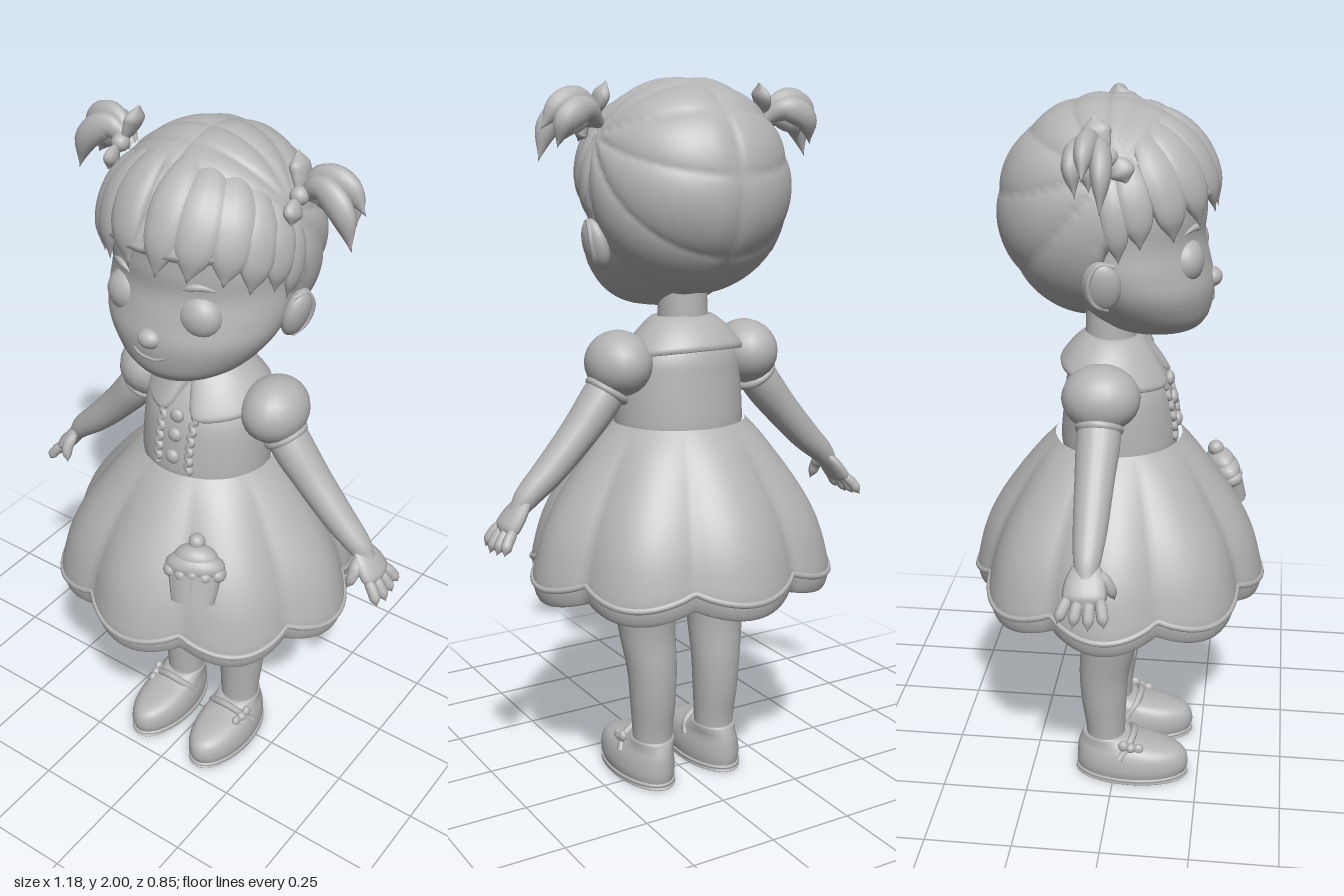
import * as THREE from 'three';
import { ParametricGeometry } from 'three/addons/geometries/ParametricGeometry.js';
import { mergeVertices } from 'three/addons/utils/BufferGeometryUtils.js';

const V = (x, y, z) => new THREE.Vector3(x, y, z);
const { sin, cos, abs, PI, min, max, floor } = Math;

// Smooth interpolation through a list of number rows
function at(rows, t) {
  const n = rows.length, f = t * (n - 1), i = min(floor(f), n - 2), k = f - i;
  const row = (j) => rows[max(0, min(n - 1, j))];
  return rows[i].map((p1, c) => {
    const p2 = row(i + 1)[c], m1 = (p2 - row(i - 1)[c]) / 2, m2 = (row(i + 2)[c] - p1) / 2;
    const k2 = k * k, k3 = k2 * k;
    return (2 * k3 - 3 * k2 + 1) * p1 + (k3 - 2 * k2 + k) * m1 + (3 * k2 - 2 * k3) * p2 + (k3 - k2) * m2;
  });
}

// Welded, smooth-shaded geometry
function weld(geo) {
  geo.deleteAttribute('uv');
  geo.deleteAttribute('normal');
  const out = mergeVertices(geo, 1e-5);
  out.computeVertexNormals();
  return out;
}
const surface = (fn, nu, nv) => weld(new ParametricGeometry(fn, nu, nv));

// Upright body from rows of [y, halfWidth, frontZ, backZ, centreX]
const loft = (rows, nu = 28, nv = 28) => surface((u, v, p) => {
  const [y, rx, zf, zb, cx] = at(rows, v), a = u * 2 * PI;
  p.set(cx + rx * sin(a), y, (zf + zb) / 2 + (zf - zb) / 2 * cos(a));
}, nu, nv);

// Tapered, optionally flattened sweep; normalOf gives the thin direction
function sweep(points, widths, flat = 1, normalOf = () => V(0, 0, 1), nu = 12, nv = 20) {
  const curve = new THREE.CatmullRomCurve3(points), rows = widths.map((w) => [w]);
  return surface((u, v, p) => {
    const c = curve.getPoint(v), T = curve.getTangent(v), N = normalOf(c);
    N.addScaledVector(T, -N.dot(T)).normalize();
    const B = N.clone().cross(T), w = max(0, at(rows, v)[0]), a = u * 2 * PI;
    p.copy(c).addScaledVector(B, w * cos(a)).addScaledVector(N, w * flat * sin(a));
  }, nu, nv);
}

const ball = (x, y, z, rx, ry = rx, rz = rx) =>
  new THREE.SphereGeometry(1, 22, 14).scale(rx, ry, rz).translate(x, y, z);
const tube = (pts, r, n = 20, closed = false) =>
  new THREE.TubeGeometry(new THREE.CatmullRomCurve3(pts, closed), n, r, 7, closed);

function mirrored(geo) {
  const g = geo.clone().scale(-1, 1, 1), ix = g.index.array;
  for (let i = 0; i < ix.length; i += 3) [ix[i], ix[i + 1]] = [ix[i + 1], ix[i]];
  return g;
}

// Hair volume: an ellipsoid addressed by azimuth and elevation in degrees
const HC = V(0, 1.71, -0.025), HR = V(0.287, 0.292, 0.298);
function hairPoint(az, el, s) {
  const a = az * PI / 180, e = el * PI / 180;
  return V(sin(a) * cos(e), sin(e), cos(a) * cos(e)).multiply(HR).multiplyScalar(s).add(HC);
}
const fromHead = (p) => p.clone().sub(HC).normalize();

function hairCap() {
  const geo = weld(new THREE.SphereGeometry(1, 140, 90)), pos = geo.attributes.position, p = V();
  for (let i = 0; i < pos.count; i++) {
    p.fromBufferAttribute(pos, i).multiply(HR).add(HC);
    // puffy strands fan out from the pigtails, with a parting down the middle
    const fan = Math.atan2(p.y - 1.85, p.z);
    const part = min(1, abs(p.x) / 0.05);
    const g = Math.pow(abs(sin(fan * 5.5)), 0.55) * Math.pow(part, 0.5);
    const open = THREE.MathUtils.smoothstep(min(1.77 - p.y, p.z - 0.04 + (1.79 - p.y) * 0.35), 0, 0.025);
    p.sub(HC).multiplyScalar((1 - 0.033 * (1 - g)) * (1 - 0.2 * open)).add(HC);
    pos.setXYZ(i, p.x, p.y, p.z);
  }
  geo.computeVertexNormals();
  return geo;
}

export function createModel() {
  const root = new THREE.Group();
  root.name = 'doll';
  const mat = new THREE.MeshStandardMaterial({ color: 0xb4b4b4 });
  mat.name = 'plain grey';
  const add = (name, geo, parent = root) => {
    const m = new THREE.Mesh(geo, mat);
    m.name = name;
    parent.add(m);
  };
  const pair = (name, geo) => {
    add(name + 'Left', geo);
    add(name + 'Right', mirrored(geo));
  };

  // Head and face
  add('head', loft([[1.386, 0.001, 0.11, 0.109, 0], [1.392, 0.09, 0.2, 0, 0], [1.42, 0.15, 0.235, -0.05, 0],
    [1.46, 0.195, 0.25, -0.1, 0], [1.52, 0.235, 0.256, -0.15, 0], [1.58, 0.25, 0.243, -0.2, 0],
    [1.65, 0.248, 0.228, -0.22, 0], [1.72, 0.248, 0.232, -0.22, 0], [1.8, 0.235, 0.22, -0.2, 0],
    [1.88, 0.17, 0.14, -0.15, 0], [1.91, 0.001, 0, -0.001, 0]], 48, 48));
  add('nose', ball(0, 1.53, 0.246, 0.034, 0.027, 0.03));
  add('mouth', tube([V(-0.05, 1.488, 0.247), V(-0.025, 1.477, 0.252), V(0, 1.475, 0.253),
    V(0.025, 1.477, 0.252), V(0.05, 1.488, 0.247)], 0.004));
  pair('eye', ball(0.109, 1.602, 0.182, 0.062, 0.06, 0.05));
  pair('eyebrow', sweep([V(0.075, 1.675, 0.22), V(0.115, 1.69, 0.208), V(0.165, 1.678, 0.178)],
    [0, 0.009, 0.008, 0], 0.8));
  pair('ear', new THREE.SphereGeometry(1, 22, 16).scale(0.03, 0.07, 0.05).rotateZ(-0.25).translate(0.262, 1.57, -0.015));
  pair('earRim', tube([V(0.258, 1.51, 0), V(0.276, 1.53, -0.035), V(0.291, 1.585, -0.045),
    V(0.285, 1.63, -0.02), V(0.272, 1.625, 0.018)], 0.007));

  // Hair cap and fringe locks: [root azimuth, root elevation, tip azimuth, tip elevation, width]
  add('hairCap', hairCap());
  const locks = [[-84, 36, -79, -17, 0.034], [-74, 44, -68, -10, 0.044], [-60, 56, -49, -8, 0.056], [-45, 64, -30, -3, 0.058],
    [-28, 70, -11, 1, 0.058], [14, 72, 6, 0, 0.052], [36, 66, 23, 0, 0.058], [54, 60, 41, -2, 0.056],
    [66, 52, 55, -8, 0.05], [76, 42, 69, -10, 0.044], [84, 36, 79, -18, 0.034]];
  locks.forEach(([a0, e0, a1, e1, w], i) => {
    const pts = [0, 0.25, 0.5, 0.75, 1].map((t) =>
      hairPoint(a0 + (a1 - a0) * t, e0 + (e1 - e0) * t, 0.955 + 0.012 * sin(t * PI)));
    add('fringeLock' + (i + 1), sweep(pts, [0.15, 0.7, 1, 1, 0.75, 0].map((k) => k * w), 0.42, fromHead));
  });

  // Pigtails with bows
  const tails = [
    [V(0.25, 1.88, -0.02), V(0.31, 1.935, -0.035), V(0.37, 1.925, -0.04), V(0.425, 1.865, -0.04)],
    [V(0.25, 1.88, -0.02), V(0.32, 1.92, -0.01), V(0.38, 1.88, 0), V(0.415, 1.785, 0)],
    [V(0.25, 1.88, -0.03), V(0.31, 1.915, -0.06), V(0.365, 1.89, -0.07), V(0.39, 1.82, -0.06)],
    [V(0.25, 1.88, -0.02), V(0.3, 1.9, -0.03), V(0.345, 1.88, -0.035), V(0.37, 1.83, -0.03)]];
  tails.forEach((pts, i) => pair('pigtailLock' + (i + 1), sweep(pts, [0.014, 0.03, 0.037, 0.03, 0], 0.75)));
  const side = () => V(1, 0.3, 0);
  pair('bowKnot', ball(0.268, 1.893, 0.005, 0.024));
  pair('bowUpperLoop', sweep([V(0.266, 1.89, 0), V(0.25, 1.94, -0.025), V(0.235, 1.985, -0.035)],
    [0.01, 0.03, 0.036, 0.004], 0.5, side));
  pair('bowLowerLoop', sweep([V(0.27, 1.89, 0.01), V(0.272, 1.865, 0.035), V(0.275, 1.835, 0.05)],
    [0.01, 0.026, 0.03, 0.004], 0.55, side));

  // Neck, bodice and collar
  add('neck', new THREE.CylinderGeometry(0.066, 0.072, 0.16, 32).translate(0, 1.38, -0.022));
  add('bodice', loft([[1.04, 0.183, 0.16, -0.155, 0], [1.08, 0.187, 0.165, -0.16, 0], [1.2, 0.18, 0.148, -0.148, 0],
    [1.26, 0.165, 0.12, -0.14, 0], [1.3, 0.13, 0.085, -0.12, 0], [1.335, 0.065, 0.04, -0.085, 0]], 40, 24));
  const collarRows = [[0.07, 1.325], [0.12, 1.3], [0.166, 1.262], [0.174, 1.264], [0.17, 1.28], [0.13, 1.33], [0.085, 1.368], [0.07, 1.36]];
  add('collar', surface((u, v, p) => {
    const a = u * 2 * PI, [r, y] = at(collarRows, v), t = max(0, (r - 0.07) / 0.1), c = cos(a);
    // narrow notch in the front middle, lower edge tipped forward
    const rr = r * (1 - 0.45 * t * Math.pow(max(0, c), 70));
    p.set(rr * sin(a), y - (rr - 0.07) * 0.25 * c + (r - rr) * 0.75, -0.018 + rr * (0.88 + 0.07 * c) * c);
  }, 96, 20));

  // Buttons and ruffles down the front
  [1.238, 1.182, 1.118].forEach((y, i) =>
    add('button' + (i + 1), ball(0, y, 0.14 + (1.238 - y) * 0.2, 0.021, 0.021, 0.014)));
  const ruffle = [];
  for (let i = 0; i <= 24; i++) {
    const t = i / 24;
    ruffle.push(V(0.05 + 0.005 * sin(i * PI / 2), 1.08 + 0.175 * t, 0.16 - 0.04 * t * t));
  }
  pair('ruffle', tube(ruffle, 0.01, 72));

  // Domed skirt with eight scallops, closed underneath: [radius, y, scallop, hem lift]
  const lobe = (a) => 1 - abs(cos(4 * a));
  const skirtRows = [[0.08, 0.74, 0, 0], [0.25, 0.71, 0.4, 0.3], [0.38, 0.65, 0.9, 0.9], [0.42, 0.605, 1, 1],
    [0.435, 0.604, 1, 1], [0.445, 0.645, 1, 1], [0.436, 0.7, 1, 0.7], [0.412, 0.78, 0.95, 0.2], [0.371, 0.86, 0.85, 0],
    [0.31, 0.945, 0.7, 0], [0.247, 1.02, 0.45, 0], [0.19, 1.075, 0.1, 0]];
  add('skirt', surface((u, v, p) => {
    const a = u * 2 * PI, [r, y, k, h] = at(skirtRows, v), R = r * (1 - 0.09 * k * lobe(a));
    p.set(R * sin(a), y + 0.03 * h * lobe(a), 0.935 * R * cos(a));
  }, 128, 44));
  const hem = [];
  for (let i = 0; i < 96; i++) {
    const a = i / 96 * 2 * PI, R = 0.443 * (1 - 0.09 * lobe(a));
    hem.push(V(R * sin(a), 0.648 + 0.035 * lobe(a), 0.935 * R * cos(a)));
  }
  add('hemTrim', tube(hem, 0.009, 160, true));

  // Cupcake applique on the skirt
  const cake = new THREE.Group();
  cake.name = 'cupcake';
  cake.position.set(0.17, 0.875, 0.297);
  cake.rotation.set(-0.35, 0.42, 0, 'YXZ');
  root.add(cake);
  add('cupcakeCup', new THREE.CylinderGeometry(0.074, 0.06, 0.085, 28).scale(1, 1, 0.6).translate(0, -0.033, 0), cake);
  for (let i = -2; i <= 2; i++) {
    add('cupPleat', tube([V(i * 0.024, -0.074, 0.031 - i * i * 0.004), V(i * 0.03, 0.005, 0.039 - i * i * 0.005)], 0.006, 4), cake);
    add('frostingDrop', ball(i * 0.032, 0.012 - 0.005 * (i & 1), 0.018 - i * i * 0.004, 0.022, 0.022, 0.029), cake);
  }
  add('frosting', ball(0, 0.03, 0, 0.082, 0.04, 0.046), cake);
  add('frostingTop', ball(0, 0.052, 0, 0.06, 0.038, 0.04), cake);
  add('cherry', ball(0, 0.096, 0, 0.023), cake);

  // Sleeves, arms and hands
  pair('sleeve', ball(0.203, 1.25, -0.025, 0.09, 0.09, 0.105));
  pair('cuff', new THREE.TorusGeometry(0.053, 0.012, 8, 28).rotateX(PI / 2).rotateZ(0.62).translate(0.24, 1.178, -0.025));
  pair('arm', sweep([V(0.21, 1.23, -0.025), V(0.26, 1.155, -0.025), V(0.33, 1.07, -0.027), V(0.42, 0.975, -0.027),
    V(0.485, 0.915, -0.027), V(0.52, 0.87, -0.027)], [0.05, 0.056, 0.05, 0.043, 0.034, 0.022], 1.05, undefined, 20, 24));
  const palmSide = () => V(0.82, 0.57, 0);
  pair('palm', sweep([V(0.475, 0.925, -0.027), V(0.51, 0.885, -0.027), V(0.54, 0.845, -0.027), V(0.558, 0.82, -0.027)],
    [0.02, 0.044, 0.056, 0.054, 0.02], 0.42, palmSide));
  for (let i = 0; i < 4; i++) {
    const k = i - 1.5, len = 1 - 0.1 * abs(k - 0.3);
    pair('finger' + (i + 1), sweep([V(0.54, 0.845, -0.027 + k * 0.026), V(0.54 + 0.03 * len, 0.845 - 0.035 * len, -0.03 + k * 0.034),
      V(0.54 + 0.05 * len, 0.845 - 0.073 * len, -0.033 + k * 0.04)], [0.012, 0.0155, 0.0155, 0.014, 0], 1, palmSide, 9, 14));
  }
  pair('thumb', sweep([V(0.5, 0.895, 0), V(0.505, 0.86, 0.03), V(0.495, 0.815, 0.045)],
    [0.012, 0.018, 0.017, 0.014, 0], 1, palmSide, 9, 14));

  // Legs
  pair('leg', loft([[0.06, 0.057, 0.03, -0.085, 0.105], [0.15, 0.059, 0.03, -0.086, 0.105], [0.25, 0.066, 0.034, -0.1, 0.106],
    [0.35, 0.072, 0.042, -0.105, 0.108], [0.46, 0.081, 0.068, -0.1, 0.114], [0.6, 0.091, 0.095, -0.108, 0.12],
    [0.78, 0.088, 0.1, -0.1, 0.12]]));

  // Shoes with sole, strap and small bow
  pair('sole', loft([[0.001, 0.001, 0.05, 0.049, 0.112], [0.001, 0.076, 0.208, -0.105, 0.112], [0.01, 0.083, 0.217, -0.114, 0.112],
    [0.02, 0.082, 0.215, -0.113, 0.112], [0.022, 0.05, 0.15, -0.07, 0.112]], 36, 16));
  pair('shoe', loft([[0.015, 0.079, 0.213, -0.11, 0.112], [0.04, 0.084, 0.221, -0.114, 0.112], [0.07, 0.082, 0.217, -0.113, 0.111],
    [0.092, 0.076, 0.198, -0.111, 0.11], [0.108, 0.069, 0.15, -0.107, 0.108], [0.122, 0.064, 0.08, -0.102, 0.106],
    [0.138, 0.06, 0.035, -0.094, 0.105], [0.13, 0.045, 0.02, -0.075, 0.105]], 36, 24));
  pair('strap', tube([V(0.036, 0.085, 0.02), V(0.055, 0.118, 0.045), V(0.108, 0.14, 0.058), V(0.16, 0.118, 0.045),
    V(0.186, 0.085, 0.02)], 0.011));
  pair('shoeButton', ball(0.167, 0.117, 0.053, 0.015));
  pair('shoeBowFront', ball(0.163, 0.112, 0.075, 0.012, 0.017, 0.016));
  pair('shoeBowBack', ball(0.172, 0.125, 0.032, 0.012, 0.017, 0.016));

  return root;
}
